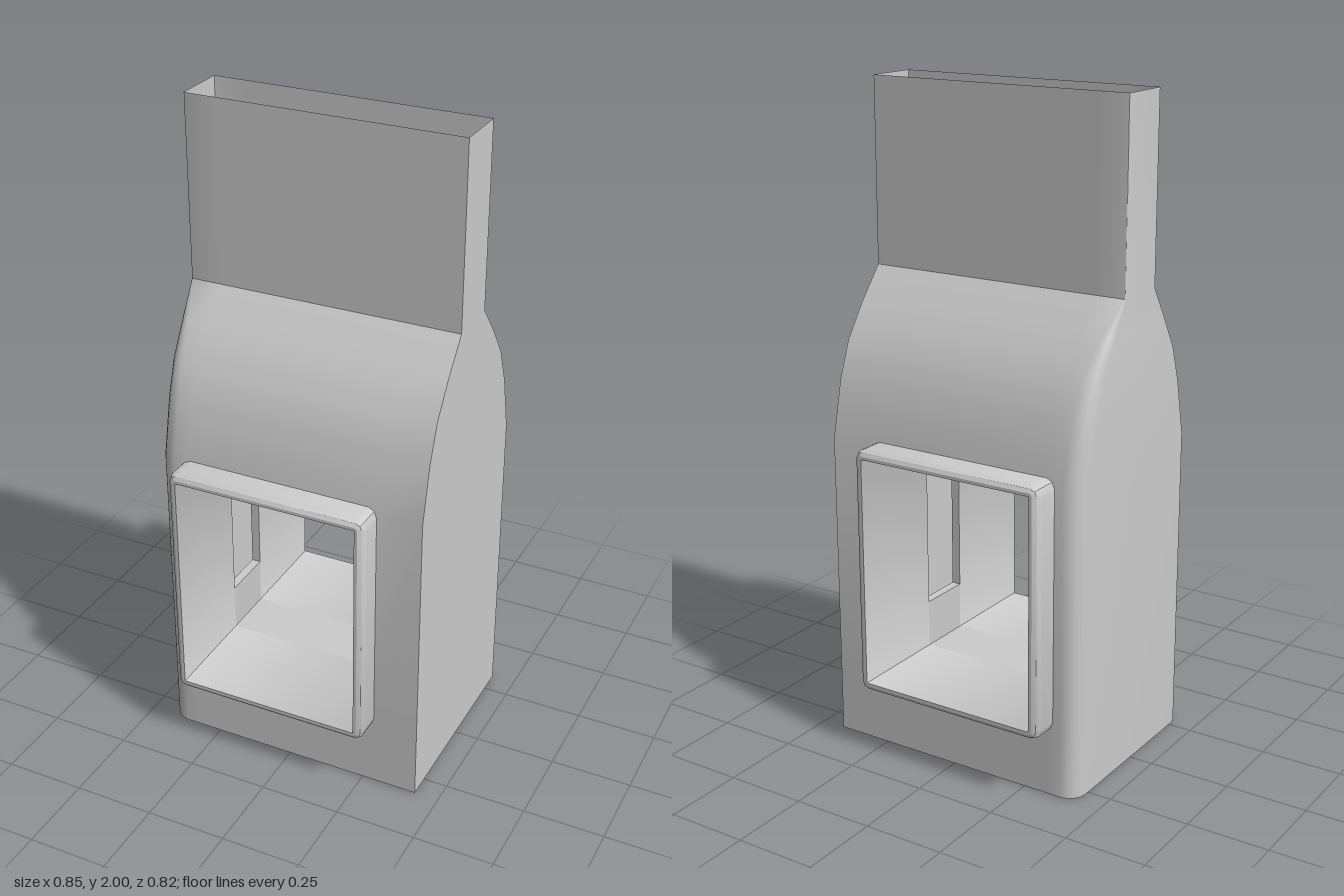
import * as THREE from 'three';
import { toCreasedNormals } from 'three/addons/utils/BufferGeometryUtils.js';

const material = new THREE.MeshStandardMaterial({ color: 0xcccccc, side: THREE.DoubleSide });

// Skin a list of closed rings; skip(row, column) leaves openings.
function loft(rings, closeRows, skip = () => false) {
  const n = rings[0].length, rows = rings.length;
  const index = [];
  for (let j = 0; j < (closeRows ? rows : rows - 1); j++) {
    for (let i = 0; i < n; i++) {
      if (skip(j, i)) continue;
      const a = j * n + i, b = j * n + (i + 1) % n;
      const up = (j + 1) % rows * n;
      const c = up + i, d = up + (i + 1) % n;
      index.push(a, c, b, b, c, d);
    }
  }
  const geometry = new THREE.BufferGeometry();
  geometry.setAttribute('position', new THREE.Float32BufferAttribute(rings.flat(2), 3));
  geometry.setIndex(index);
  return toCreasedNormals(geometry, 0.52);
}

function part(name, geometry) {
  const mesh = new THREE.Mesh(geometry, material);
  mesh.name = name;
  return mesh;
}

// Horizontal section of the housing: square on +x, rounded corners on -x.
function housingRing([y, h, r]) {
  const half = [[0.425, h], [0.27, h], [-0.33, h]];
  for (let k = 0; k <= 4; k++) {
    const t = k / 4 * Math.PI / 2;
    half.push([-0.425 + r - r * Math.sin(t), h - r + r * Math.cos(t)]);
  }
  const back = half.map(([x, z]) => [x, -z]).reverse();
  return [...half, ...back].map(([x, z]) => [x, y, z]);
}

// Tunnel outline, shrunk by an inset, with small rounded corners.
const CX = -0.03, CY = 0.5875, HX = 0.315, HY = 0.3825, WALL = 0.028;
function frameRing(z, inset) {
  const r = Math.max(WALL - inset, 0.001);
  const ring = [];
  [[1, 1], [-1, 1], [-1, -1], [1, -1]].forEach(([sx, sy], q) => {
    for (let k = 0; k <= 2; k++) {
      const t = (q + k / 2) * Math.PI / 2;
      ring.push([
        CX + sx * (HX - inset - r) + r * Math.cos(t),
        CY + sy * (HY - inset - r) + r * Math.sin(t),
        z,
      ]);
    }
  });
  return ring;
}

export function createModel() {
  const group = new THREE.Group();

  // Housing: rows are height, half depth, corner radius
  const rows = [
    [0, 0.32, 0.055], [0.22, 0.32, 0.055], [0.955, 0.32, 0.055],
    [1.13, 0.28, 0.052], [1.24, 0.238, 0.045], [1.34, 0.168, 0.03],
    [1.44, 0.085, 0.003], [2, 0.085, 0.001],
  ];
  const windowColumn = i => i === 1 || i === 13;
  group.add(part('housing', loft(rows.map(housingRing), false, (j, i) => j === 1 && windowColumn(i))));

  // Window frames: tunnel ends with a rounded outer rim
  const gap = 0.085;
  for (const s of [1, -1]) {
    const rings = [
      [gap, 0], [0.385, 0], [0.401, 0.007], [0.408, 0.018],
      [0.408, WALL], [gap, WALL],
    ].map(([z, inset]) => frameRing(s * z, inset));
    if (s > 0) rings.reverse();
    group.add(part(s > 0 ? 'frontWindowFrame' : 'backWindowFrame', loft(rings, true)));
  }

  // Middle of the tunnel: floor and low sides, open above for the slot
  const sill = 0.38, l = CX - HX, r = CX + HX, b = CY - HY;
  const trough = new THREE.Shape([
    [l, sill], [l, b + WALL], [l + WALL, b], [r - WALL, b], [r, b + WALL], [r, sill],
    [r - WALL, sill], [r - WALL, b + WALL], [l + WALL, b + WALL], [l + WALL, sill],
  ].map(([x, y]) => new THREE.Vector2(x, y)));
  const troughGeometry = new THREE.ExtrudeGeometry(trough, { depth: 2 * gap, bevelEnabled: false });
  troughGeometry.translate(0, 0, -gap);
  group.add(part('tunnelTrough', troughGeometry));

  return group;
}
